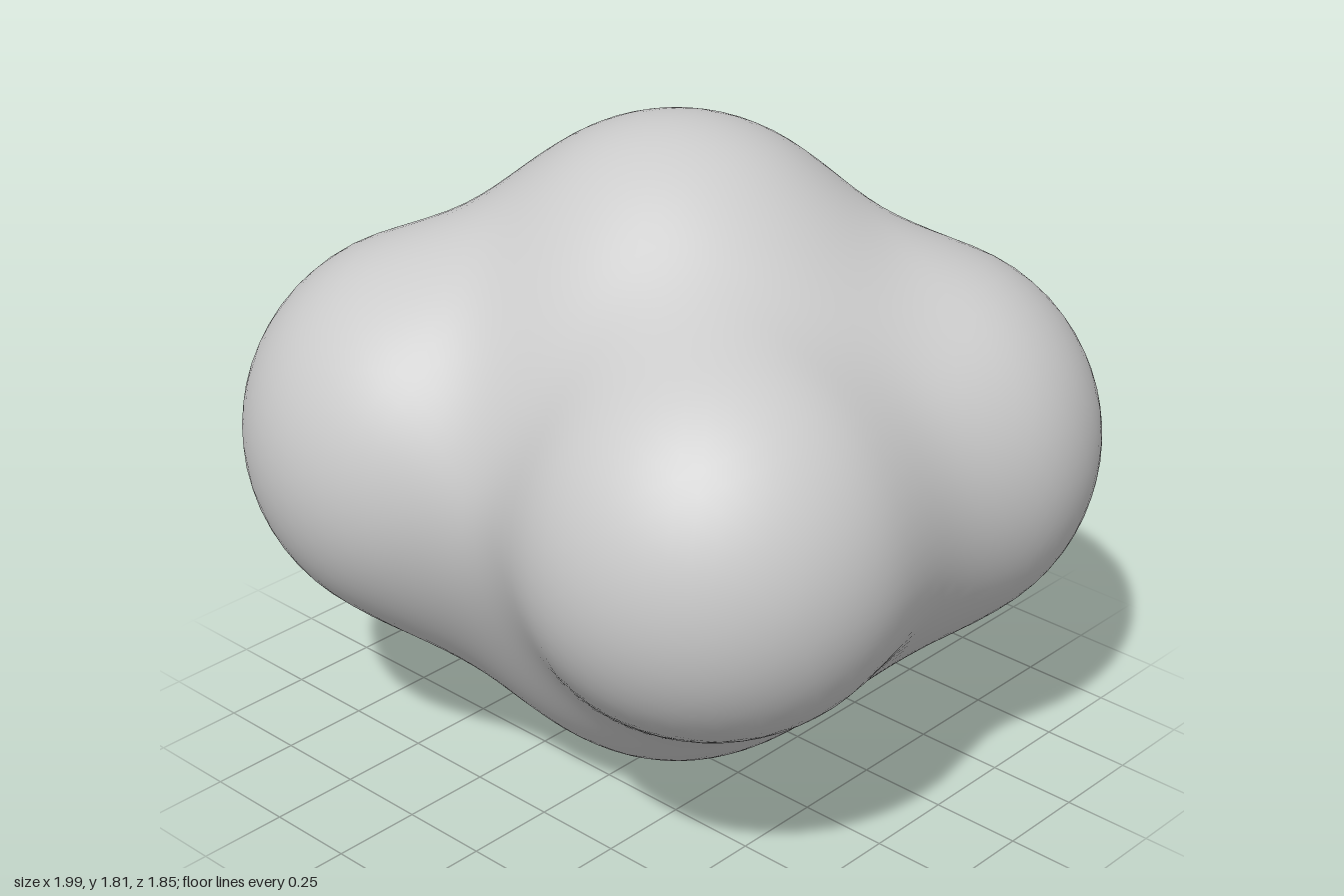
import * as THREE from 'three';
import { mergeVertices } from 'three/addons/utils/BufferGeometryUtils.js';

// Overlapping balls [x, y, z, radius, blend]: a ring of four lobes, crown and base
const BALLS = [
  [-0.46, 0.96, 0.38, 0.54, 0.3],
  [0.46, 0.97, 0.33, 0.53, 0.3],
  [0.45, 0.96, -0.40, 0.53, 0.3],
  [-0.41, 0.96, -0.39, 0.53, 0.3],
  [-0.02, 1.26, -0.04, 0.555, 0.26],
  [-0.02, 0.53, -0.04, 0.53, 0.4],
];

// Distance to the balls, joined with soft valleys
function distance(p) {
  let d = Infinity;
  for (const [x, y, z, r, blend] of BALLS) {
    const e = Math.hypot(p.x - x, p.y - y, p.z - z) - r;
    const h = Math.max(blend - Math.abs(d - e), 0) / blend;
    d = Math.min(d, e) - h * h * blend / 4;
  }
  return d;
}

export function createModel() {
  const group = new THREE.Group();

  // Shrink-wrap an even sphere onto the blended balls, marching inward
  let geo = new THREE.IcosahedronGeometry(1, 20);
  geo.deleteAttribute('uv');
  geo.deleteAttribute('normal');
  geo = mergeVertices(geo, 1e-4);
  const centre = new THREE.Vector3(0, 0.93, -0.02);
  const pos = geo.attributes.position;
  const dir = new THREE.Vector3();
  const p = new THREE.Vector3();
  for (let i = 0; i < pos.count; i++) {
    dir.fromBufferAttribute(pos, i).normalize();
    let t = 1.6;
    for (let step = 0; step < 60; step++) {
      p.copy(centre).addScaledVector(dir, t);
      t -= distance(p) * 0.9;
    }
    p.copy(centre).addScaledVector(dir, t);
    pos.setXYZ(i, p.x, Math.max(p.y, 0), p.z);
  }
  geo.computeVertexNormals();

  const body = new THREE.Mesh(geo, new THREE.MeshStandardMaterial({ color: 0xcccccc }));
  body.name = 'lobedBody';
  group.add(body);
  return group;
}
